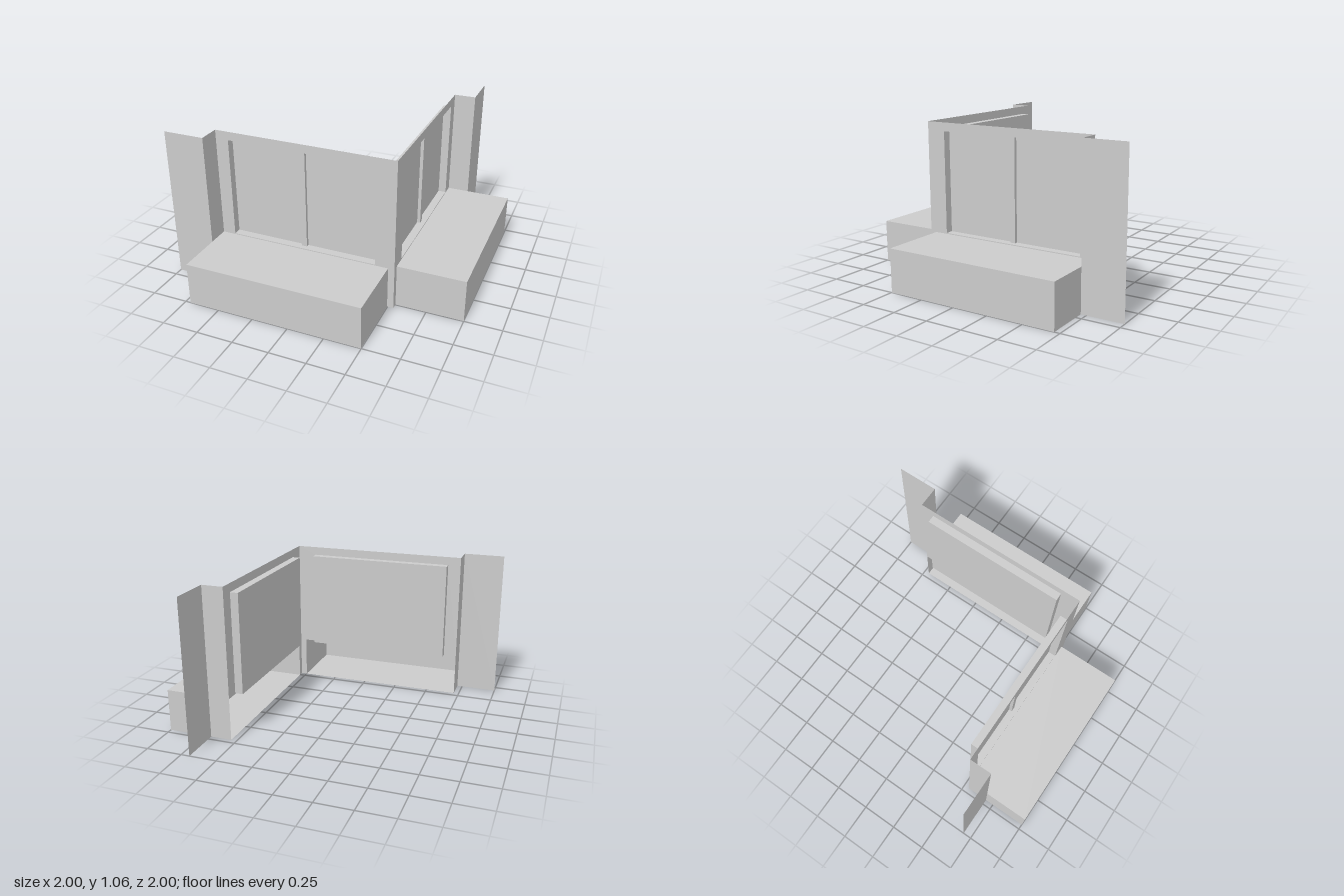
import * as THREE from 'three';

const material = new THREE.MeshStandardMaterial({ color: 0xcccccc, side: THREE.DoubleSide });

// BoxGeometry face order, used to leave a side open
const FRONT = 4, BACK = 5;

function mesh(name, geometry) {
  const m = new THREE.Mesh(geometry, material);
  m.name = name;
  return m;
}

// Box from its min and max corners, optionally without one face
function box(name, [x0, y0, z0], [x1, y1, z1], openFace = -1) {
  const g = new THREE.BoxGeometry(x1 - x0, y1 - y0, z1 - z0);
  if (openFace >= 0) {
    const kept = Array.from(g.index.array).filter((_, i) => Math.floor(i / 6) !== openFace);
    g.setIndex(kept);
    g.clearGroups();
  }
  g.translate((x0 + x1) / 2, (y0 + y1) / 2, (z0 + z1) / 2);
  return mesh(name, g);
}

// One wing of the corner: thin wall, window recess, bench and end panel
function createWing(name) {
  const wing = new THREE.Group();
  wing.name = name;

  const height = 1.056, wallZ = 0.54, endX = -0.713, panelZ = 0.69;
  const benchX = 0.497, benchTop = 0.296;
  const win = { x0: -0.622, x1: 0.406, y0: 0.302, y1: 0.997, z: 0.485 };

  // Wall sheet, cut out behind the bench and at the window
  const outline = new THREE.Shape([
    [endX, benchTop], [benchX, benchTop], [benchX, 0],
    [wallZ, 0], [wallZ, height], [endX, height],
  ].map(([x, y]) => new THREE.Vector2(x, y)));
  outline.holes.push(new THREE.Path([
    [win.x0, win.y0], [win.x0, win.y1], [win.x1, win.y1], [win.x1, win.y0],
  ].map(([x, y]) => new THREE.Vector2(x, y))));
  const wall = mesh('wall', new THREE.ShapeGeometry(outline));
  wall.position.z = wallZ;
  wing.add(wall);

  // Window recess, open to the front, with its centre bar
  wing.add(box('windowRecess', [win.x0, win.y0, win.z], [win.x1, win.y1, wallZ], FRONT));
  wing.add(box('windowBar', [-0.128, win.y0, win.z], [-0.091, win.y1, win.z + 0.022], BACK));

  // Hollow bench, open towards the wall
  wing.add(box('bench', [endX, 0, wallZ], [benchX, benchTop, 1], BACK));

  // Return and end panel stepping forward from the wall
  const back = mesh('wallReturn', new THREE.PlaneGeometry(panelZ - wallZ, height).rotateY(Math.PI / 2));
  back.position.set(endX, height / 2, (wallZ + panelZ) / 2);
  const panel = mesh('endPanel', new THREE.PlaneGeometry(endX + 1, height));
  panel.position.set((endX - 1) / 2, height / 2, panelZ);
  wing.add(back, panel);
  return wing;
}

export function createModel() {
  const model = new THREE.Group();
  model.name = 'cornerWallWithBenches';

  const frontWing = createWing('frontWing');

  // Second wing mirrored across the diagonal (x and z swapped)
  const sideWing = createWing('sideWing');
  sideWing.scale.x = -1;
  sideWing.rotation.y = Math.PI / 2;

  model.add(frontWing, sideWing);
  return model;
}
